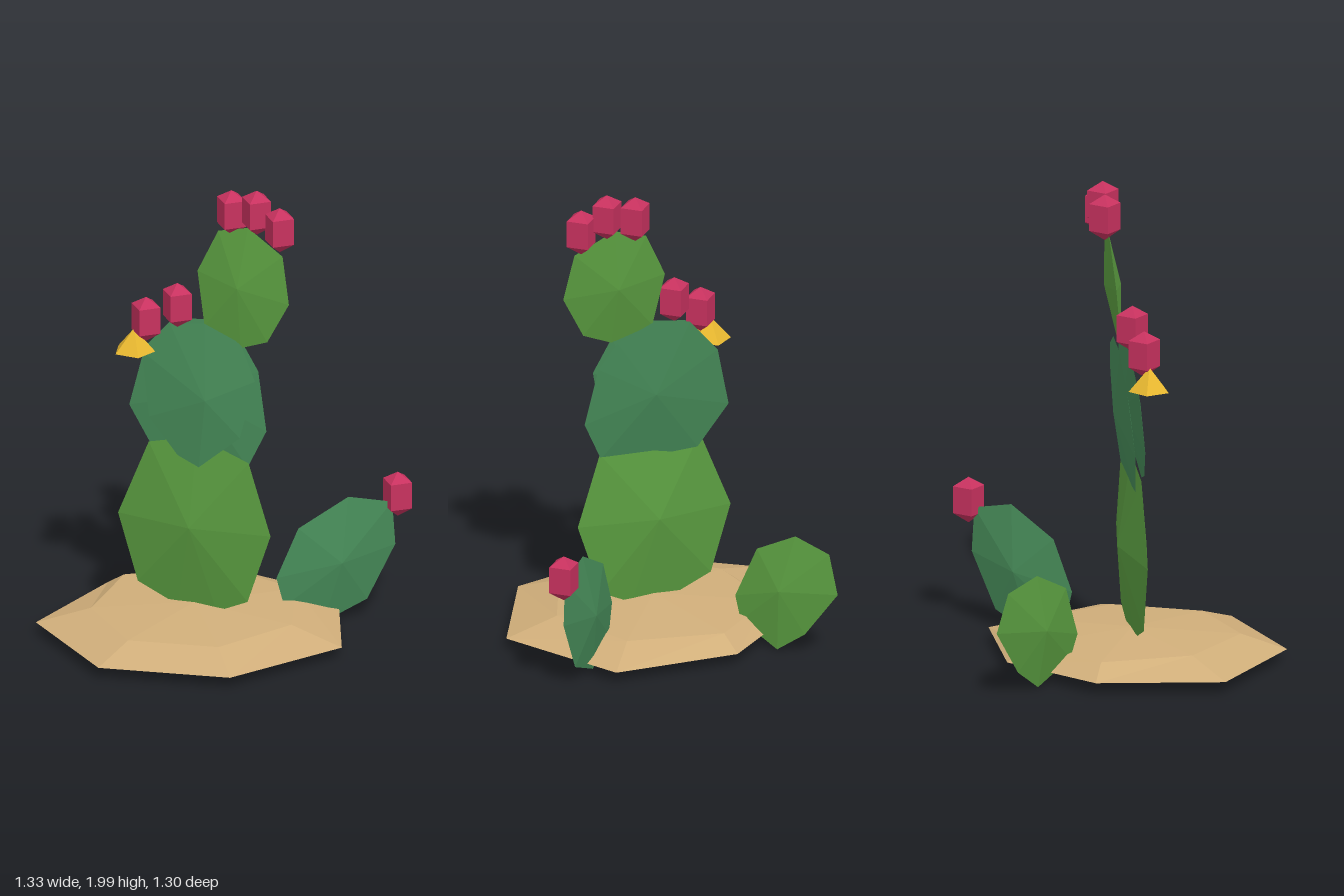
import * as THREE from 'three';

const mat = (color) => new THREE.MeshStandardMaterial({ color, flatShading: true });
const LIGHT = mat(0x5a9c40), TEAL = mat(0x468a58), PINK = mat(0xc8325f);
const YELLOW = mat(0xe8b830), SAND = mat(0xd0ae7a);

function add(group, name, geometry, material, x = 0, y = 0, z = 0) {
  const mesh = new THREE.Mesh(geometry, material);
  mesh.name = name;
  mesh.position.set(x, y, z);
  group.add(mesh);
  return mesh;
}

// Build a faceted geometry from a list of triangles (arrays of three Vector3)
function fromTriangles(triangles) {
  const g = new THREE.BufferGeometry().setFromPoints(triangles.flat());
  g.computeVertexNormals();
  return g;
}

// Lens-shaped cactus pad: a sharp rim on the plane z = a + bx + cy, with a peak on each side.
// The outline runs counter-clockwise seen from the front.
function padGeometry(outline, [a, b, c], [px, py], thickness) {
  const onPlane = (x, y) => new THREE.Vector3(x, y, a + b * x + c * y);
  const rim = outline.map(([x, y]) => onPlane(x, y));
  const normal = new THREE.Vector3(-b, -c, 1).normalize();
  const front = onPlane(px, py).addScaledVector(normal, thickness);
  const back = onPlane(px, py).addScaledVector(normal, -thickness);
  const tris = [];
  rim.forEach((p, i) => {
    const q = rim[(i + 1) % rim.length];
    tris.push([p, q, front], [q, p, back]);
  });
  return fromTriangles(tris);
}

// Low mound: outer rim, raised inner ring, peak and flat underside
function moundGeometry() {
  const ring = (pts, y) => pts.map(([x, z]) => new THREE.Vector3(x, y, z));
  const outer = ring([[-0.2, -0.53], [0.34, -0.505], [0.6, 0.02], [0.32, 0.515],
    [-0.22, 0.645], [-0.665, 0.3], [-0.58, -0.23]], 0.06);
  const inner = ring([[-0.18, -0.44], [0.22, -0.35], [0.37, 0.02], [0.2, 0.37],
    [-0.17, 0.46], [-0.46, 0.2], [-0.49, -0.19]], 0.123);
  const peak = new THREE.Vector3(-0.07, 0.15, 0.02);
  const base = new THREE.Vector3(-0.05, 0.06, 0.02);
  const tris = [];
  outer.forEach((p, i) => {
    const j = (i + 1) % outer.length;
    tris.push([p, inner[i], outer[j]], [outer[j], inner[i], inner[j]]);
    tris.push([inner[i], peak, inner[j]], [p, outer[j], base]);
  });
  return fromTriangles(tris);
}

export function createModel() {
  const model = new THREE.Group();
  model.name = 'cactus';

  add(model, 'sandMound', moundGeometry(), SAND);

  // Stacked pads of the main stem
  add(model, 'lowerPad', padGeometry([
    [-0.42, 0.49], [-0.33, 0.2], [-0.15, 0.125], [0.03, 0.125], [0.17, 0.19],
    [0.275, 0.5], [0.175, 0.81], [-0.06, 0.89], [-0.28, 0.83],
  ], [0.02, 0, 0], [-0.07, 0.5], 0.062), LIGHT);

  add(model, 'middleBackPad', padGeometry([
    [-0.39, 0.96], [-0.26, 0.78], [-0.06, 0.77], [0.17, 0.79], [0.25, 0.96],
    [0.2, 1.21], [0.12, 1.32], [-0.03, 1.39], [-0.2, 1.37], [-0.33, 1.22],
  ], [0.09, 0.05, -0.1], [-0.05, 1.07], 0.035), TEAL);

  add(model, 'middleFrontPad', padGeometry([
    [-0.27, 0.95], [-0.13, 0.81], [-0.03, 0.775], [0.15, 0.93], [0.205, 1.18],
    [0.13, 1.33], [-0.04, 1.385], [-0.2, 1.36], [-0.32, 1.22],
  ], [0.17, 0.03, -0.13], [0, 1.07], 0.04), TEAL);

  add(model, 'upperPad', padGeometry([
    [-0.09, 1.6], [-0.045, 1.37], [0.13, 1.31], [0.255, 1.36], [0.35, 1.54],
    [0.31, 1.74], [0.14, 1.83], [0, 1.79],
  ], [0.12, 0.1, -0.1], [0.12, 1.57], 0.035), LIGHT);

  // Small pads growing from the ground behind
  add(model, 'rightSmallPad', padGeometry([
    [-0.6, 0.3], [-0.5, 0.1], [-0.42, 0.01], [-0.325, 0.1], [-0.315, 0.2],
    [-0.385, 0.42], [-0.495, 0.51], [-0.585, 0.465],
  ], [0.165, 1.45, 0.18], [-0.45, 0.27], 0.04), LIGHT);

  add(model, 'leftSmallPad', padGeometry([
    [0.21, 0.23], [0.235, 0.1], [0.36, 0.01], [0.5, 0.09], [0.59, 0.32],
    [0.58, 0.51], [0.44, 0.555], [0.28, 0.44],
  ], [0.015, -0.92, 0], [0.41, 0.28], 0.045), TEAL);

  // Four-sided fruits with pointed ends
  const fruit = new THREE.LatheGeometry([
    [0, -0.098], [0.066, -0.055], [0.066, 0.06], [0, 0.098],
  ].map(([r, y]) => new THREE.Vector2(r, y)), 4);
  [[0.055, 1.878, -0.07], [0.177, 1.902, -0.055], [0.288, 1.848, -0.042],
    [-0.157, 1.455, 0.005], [-0.288, 1.38, 0.03], [0.595, 0.54, -0.54],
  ].forEach((p, i) => add(model, `fruit${i + 1}`, fruit, PINK, ...p));

  // Five-sided flower
  add(model, 'flower', new THREE.ConeGeometry(0.088, 0.1, 5, 1, false, Math.PI),
    YELLOW, -0.336, 1.285, 0.043);

  return model;
}
